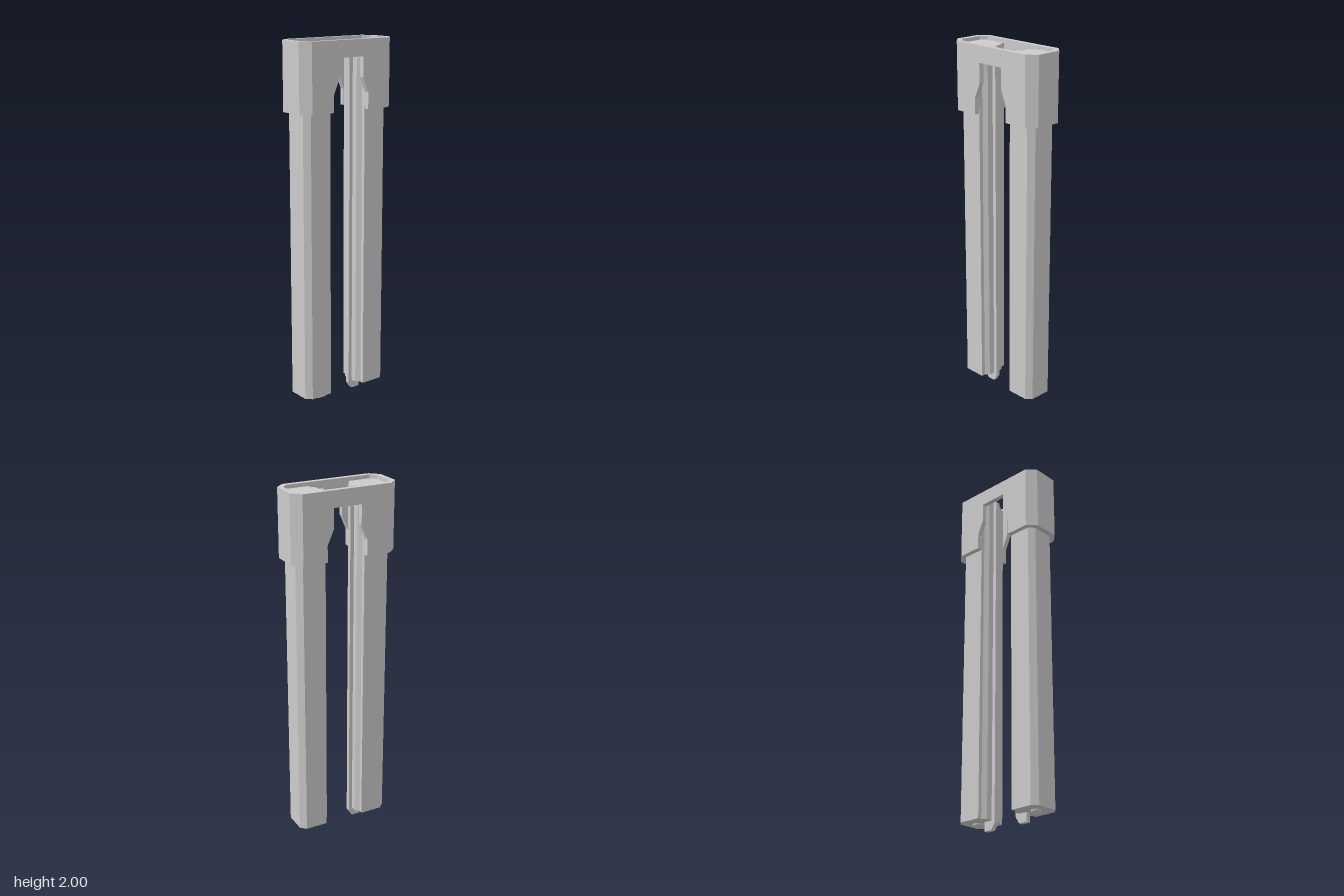
import * as THREE from 'three';

const material = new THREE.MeshStandardMaterial({ color: 0xcccccc, flatShading: true });
const smooth = new THREE.MeshStandardMaterial({ color: 0xcccccc, side: THREE.DoubleSide });

const outline = (points) => new THREE.Shape(points.map(([x, y]) => new THREE.Vector2(x, y)));

function part(name, geometry, mat = material) {
  const mesh = new THREE.Mesh(geometry, mat);
  mesh.name = name;
  return mesh;
}

// Plan outline raised from y0 to y1
function prism(points, y0, y1) {
  return new THREE.ExtrudeGeometry(outline(points), { depth: y1 - y0, bevelEnabled: false })
    .rotateX(-Math.PI / 2).translate(0, y0, 0);
}

// Front outline given thickness from z0 to z1
function plate(points, z0, z1) {
  return new THREE.ExtrudeGeometry(outline(points), { depth: z1 - z0, bevelEnabled: false })
    .translate(0, 0, z0);
}

// Half of a symmetric plan outline, completed by mirroring across z
const mirrored = (half) => [...half, ...half.map(([x, z]) => [x, -z]).reverse()];

function createSide(name) {
  const side = new THREE.Group();
  side.name = name;

  // Long leg with chamfered corners and a stepped inner face
  const legHalf = [[0.094, 0.047], [0.115, 0.068], [0.115, 0.09], [0.241, 0.09], [0.271, 0.061]];
  side.add(part('leg', prism(mirrored(legHalf), 0.05, 1.98)));

  // Thin guide rail on the inner face, ending in a hooked foot
  side.add(part('guideRail', plate([
    [0.145, 0], [0.095, 0], [0.073, 0.035], [0.073, 1.98],
    [0.1, 1.98], [0.1, 0.051], [0.145, 0.051],
  ], -0.013, 0.013)));

  // Half of the collar wrapped around the top of the leg
  const collarHalf = [
    [0.271, 0.061], [0.241, 0.091], [0.115, 0.091],
    [0.115, 0.119], [0.252, 0.119], [0.3, 0.072],
  ];
  side.add(part('collarEnd', prism([
    ...collarHalf, ...collarHalf.map(([x, z]) => [x, -z]).reverse(),
  ], 1.63, 2)));

  // Hollow stud under the leg
  const profile = [[0.03, 0.051], [0.03, 0.044], [0.025, 0.037], [0.017, 0.037], [0.014, 0.049], [0, 0.049]];
  const stud = new THREE.LatheGeometry(profile.map(([r, y]) => new THREE.Vector2(r, y)), 24);
  side.add(part('footStud', stud.translate(0.2, 0, 0), smooth));
  return side;
}

export function createModel() {
  const model = new THREE.Group();
  model.name = 'twinLegClip';

  const left = createSide('leftSide');
  const right = createSide('rightSide');
  right.rotation.y = Math.PI;
  model.add(left, right);

  // Bridges joining both collar ends, front and back
  const bridge = [
    [-0.115, 2], [-0.115, 1.72], [-0.08, 1.8], [-0.08, 1.91],
    [0.08, 1.91], [0.08, 1.8], [0.115, 1.72], [0.115, 2],
  ];
  model.add(part('frontBridge', plate(bridge, 0.091, 0.119)));
  model.add(part('backBridge', plate(bridge, -0.119, -0.091)));
  return model;
}
